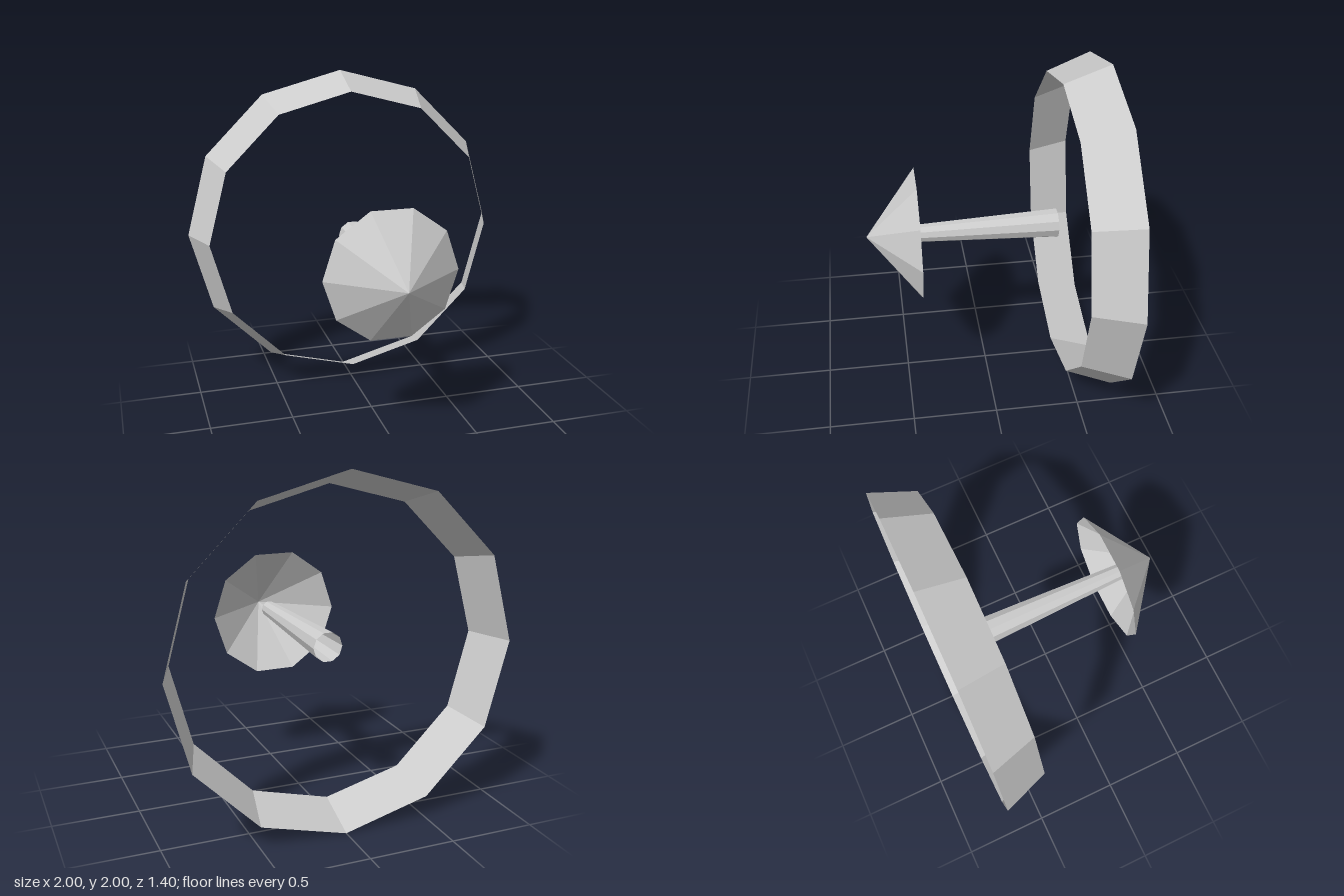
import * as THREE from 'three';

const material = new THREE.MeshStandardMaterial({
  color: 0xcccccc, flatShading: true, side: THREE.DoubleSide,
});

// Open tapered tube along z, with one corner on the +x axis.
function taperedTube(name, sides, frontZ, frontRadius, backZ, backRadius) {
  const geometry = new THREE.CylinderGeometry(
    frontRadius, backRadius, frontZ - backZ, sides, 1, true, Math.PI / 2);
  geometry.rotateX(Math.PI / 2);
  const mesh = new THREE.Mesh(geometry, material);
  mesh.name = name;
  mesh.position.set(0, 1, (frontZ + backZ) / 2);
  return mesh;
}

export function createModel() {
  const model = new THREE.Group();
  model.name = 'coneAndRing';

  // Hollow pointed tip, open at the back
  model.add(taperedTube('coneTip', 10, 0.7, 0, 0.4, 0.395));

  // Hollow stem widening to the back, reaching a little into the tip
  model.add(taperedTube('stem', 10, 0.5, 0.049, -0.43, 0.087));

  // Thin flared ring floating around the stem's back end
  model.add(taperedTube('flaredRing', 12, -0.43, 0.9, -0.7, 1));

  return model;
}
